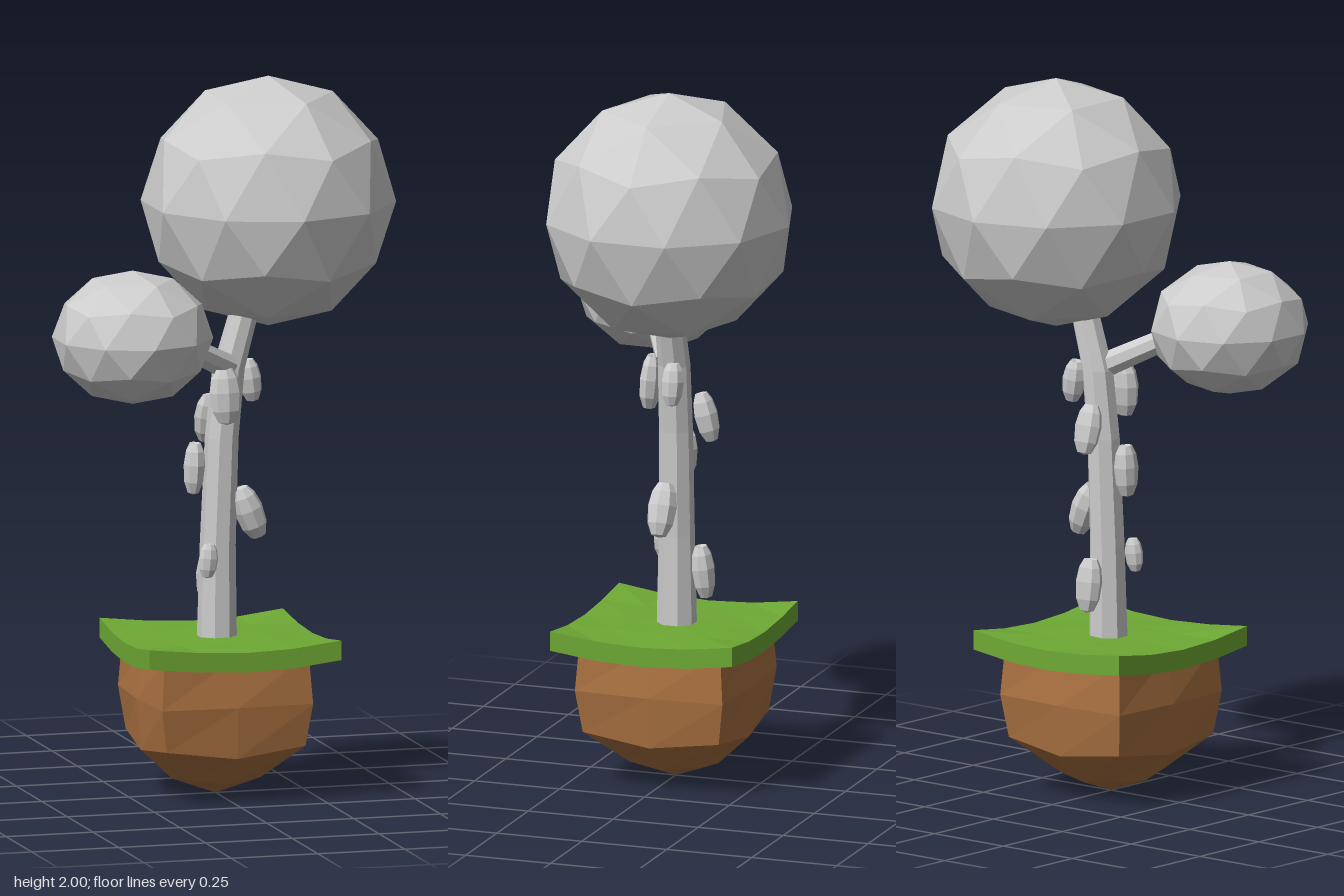
import * as THREE from 'three';

const mat = (name, color) => {
  const m = new THREE.MeshStandardMaterial({ color });
  m.name = name;
  return m;
};

// Unshared corners give every face its own flat normal
function flat(geo) {
  const g = geo.index ? geo.toNonIndexed() : geo;
  g.computeVertexNormals();
  return g;
}

// Skin through a stack of rings, listed from bottom to top
function loft(rings) {
  const pos = [];
  for (let r = 0; r < rings.length - 1; r++) {
    const lo = rings[r], up = rings[r + 1], n = lo.length;
    for (let i = 0; i < n; i++) {
      const j = (i + 1) % n;
      for (const p of [lo[i], up[i], lo[j], up[i], up[j], lo[j]]) pos.push(...p);
    }
  }
  const g = new THREE.BufferGeometry();
  g.setAttribute('position', new THREE.Float32BufferAttribute(pos, 3));
  return flat(g);
}

export function createModel() {
  const group = new THREE.Group();
  const grey = mat('pale grey', 0xcccccc);
  const green = mat('grass green', 0x6ea934);
  const brown = mat('soil brown', 0xa97140);

  const add = (name, geo, material) => {
    const m = new THREE.Mesh(geo, material);
    m.name = name;
    group.add(m);
    return m;
  };

  // Soil: bulging square block with a rounded underside
  // each level: [corner y, corner half width, side y, side half width]
  const soilLevels = [
    [0.005, 0, 0.005, 0],
    [0.06, 0.1, 0.05, 0.125],
    [0.16, 0.2, 0.135, 0.215],
    [0.28, 0.217, 0.28, 0.228],
    [0.42, 0.207, 0.42, 0.207],
  ];
  add('soil', loft(soilLevels.map(([cy, c, sy, s]) =>
    Array.from({ length: 8 }, (_, i) => {
      const a = i * Math.PI / 4;
      const corner = i % 2 === 1;
      const r = corner ? c * Math.SQRT2 : s;
      return [Math.cos(a) * r, corner ? cy : sy, Math.sin(a) * r];
    }))), brown);

  // Grass: thin slab with lifted corners and a gentle wave
  const grass = new THREE.BoxGeometry(0.54, 0.055, 0.53, 4, 1, 4);
  const gp = grass.attributes.position;
  for (let i = 0; i < gp.count; i++) {
    const u = gp.getX(i) / 0.27, v = gp.getZ(i) / 0.265;
    const lift = 0.018 * u * u * v * v + 0.005 * Math.sin(3 * u + 1) * Math.cos(2 * v);
    gp.setXYZ(i, gp.getX(i) + 0.008 + 0.006 * u * v, gp.getY(i) + 0.415 + lift, gp.getZ(i));
  }
  add('grass', flat(grass), green);

  // Trunk: leaning, bent near the crown [x, y, z, radius]
  const trunkPath = [
    [0.005, 0.42, -0.005, 0.056],
    [0.008, 0.7, -0.006, 0.05],
    [0.02, 1.0, -0.008, 0.047],
    [0.04, 1.19, -0.01, 0.045],
    [0.1, 1.4, -0.012, 0.04],
  ];
  add('trunk', loft(trunkPath.map(([x, y, z, r]) =>
    Array.from({ length: 8 }, (_, i) => {
      const a = (i + 0.5) * Math.PI / 4;
      return [x + Math.cos(a) * r, y, z + Math.sin(a) * r];
    }))), grey);

  // Branch to the small crown
  const from = new THREE.Vector3(0.03, 1.2, 0.01);
  const to = new THREE.Vector3(-0.2, 1.325, 0.15);
  const dir = to.clone().sub(from);
  const branch = add('branch', flat(new THREE.CylinderGeometry(0.03, 0.037, dir.length(), 8)), grey);
  branch.position.copy(from).add(to).multiplyScalar(0.5);
  branch.quaternion.setFromUnitVectors(new THREE.Vector3(0, 1, 0), dir.normalize());

  // Crowns: faceted balls with a vertex at the top
  const crown = (name, x, y, z, r, ry) => {
    const g = new THREE.IcosahedronGeometry(1, 1);
    g.rotateZ(-Math.atan(2 / (1 + Math.sqrt(5))));
    g.scale(r, ry, r);
    add(name, flat(g), grey).position.set(x, y, z);
  };
  crown('largeCrown', 0.164, 1.65, -0.041, 0.353, 0.35);
  crown('smallCrown', -0.288, 1.325, 0.167, 0.223, 0.187);

  // Pods: blunt eggs with a dimpled top, scattered along the trunk
  const podProfile = [[0, -0.5], [0.26, -0.46], [0.44, -0.25], [0.5, 0.08], [0.42, 0.34], [0.26, 0.5], [0.14, 0.48], [0, 0.42]]
    .map(([x, y]) => new THREE.Vector2(x, y));
  const podGeo = flat(new THREE.LatheGeometry(podProfile, 8));
  // [x, y, z, width x, height, width z, tilt x, tilt z]
  const pods = [
    [0.01, 1.125, 0.068, 0.092, 0.155, 0.066, -0.08, 0.03],
    [0.108, 1.15, -0.03, 0.066, 0.12, 0.066, 0, 0.15],
    [-0.06, 0.915, -0.005, 0.062, 0.145, 0.075, 0, -0.04],
    [0.097, 0.785, 0.005, 0.083, 0.152, 0.085, 0, 0.38],
    [-0.037, 0.665, 0.055, 0.055, 0.095, 0.045, -0.05, -0.08],
    [0.008, 0.595, -0.085, 0.08, 0.15, 0.065, 0.12, 0],
    [0.005, 1.037, -0.093, 0.08, 0.14, 0.066, 0.25, 0],
  ];
  pods.forEach(([x, y, z, w, h, d, rx, rz], i) => {
    const pod = add('pod' + (i + 1), podGeo, grey);
    pod.position.set(x, y, z);
    pod.scale.set(w, h, d);
    pod.rotation.set(rx, 0, rz);
  });

  return group;
}
